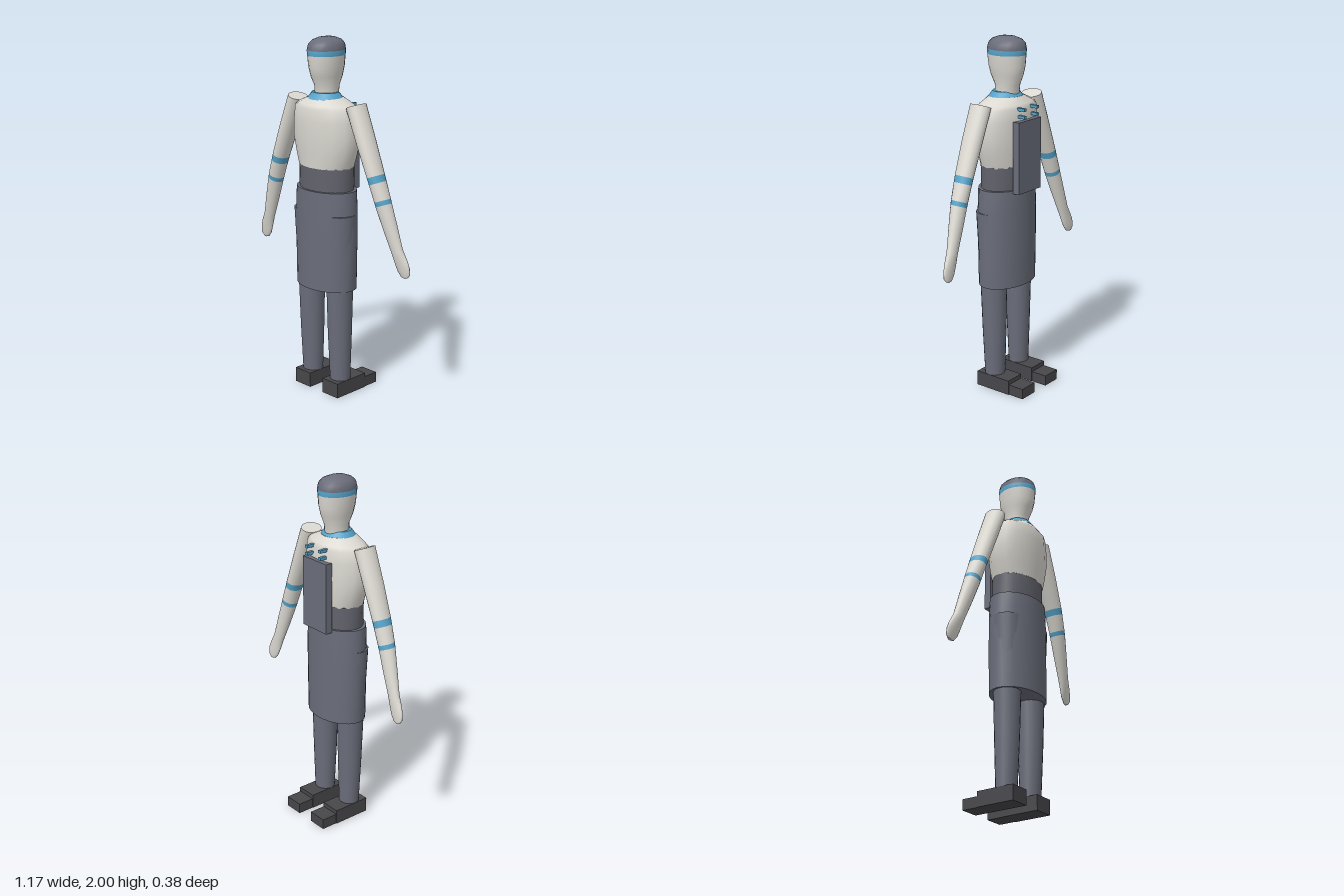
import * as THREE from 'three';

const paint = (name, color) => {
  const m = new THREE.MeshStandardMaterial({ color });
  m.name = name;
  return m;
};

// Lofts ellipses listed from bottom to top as [y, cx, cz, rx, rz, material of the band above].
function loft(name, sections, sides = 20) {
  const pos = [], index = [], mats = [], geo = new THREE.BufferGeometry();
  const ring = ([y, cx, cz, rx, rz]) => {
    const start = pos.length / 3;
    for (let i = 0; i < sides; i++) {
      const a = (i / sides) * Math.PI * 2;
      pos.push(cx + rx * Math.sin(a), y, cz + rz * Math.cos(a));
    }
    return start;
  };
  const group = (mat, build) => {
    const start = index.length;
    build();
    if (!mats.includes(mat)) mats.push(mat);
    geo.addGroup(start, index.length - start, mats.indexOf(mat));
  };
  const cap = (s, mat, up) => group(mat, () => {
    const r = ring(s), c = pos.length / 3;
    pos.push(s[1], s[0], s[2]);
    for (let i = 0; i < sides; i++) {
      const a = r + i, b = r + (i + 1) % sides;
      index.push(c, up ? a : b, up ? b : a);
    }
  });
  const rings = sections.map(ring);
  for (let j = 0; j < sections.length - 1; j++) {
    group(sections[j][5], () => {
      for (let i = 0; i < sides; i++) {
        const k = (i + 1) % sides, lo = rings[j], hi = rings[j + 1];
        index.push(lo + i, lo + k, hi + k, lo + i, hi + k, hi + i);
      }
    });
  }
  cap(sections[0], sections[0][5], false);
  cap(sections.at(-1), sections.at(-2)[5], true);
  geo.setAttribute('position', new THREE.Float32BufferAttribute(pos, 3));
  geo.setIndex(index);
  geo.computeVertexNormals();
  const mesh = new THREE.Mesh(geo, mats);
  mesh.name = name;
  return mesh;
}

// Box given by its extents on each axis.
function box(name, mat, [x0, x1], [y0, y1], [z0, z1]) {
  const mesh = new THREE.Mesh(new THREE.BoxGeometry(x1 - x0, y1 - y0, z1 - z0), mat);
  mesh.position.set((x0 + x1) / 2, (y0 + y1) / 2, (z0 + z1) / 2);
  mesh.name = name;
  return mesh;
}

export function createModel() {
  const model = new THREE.Group();
  model.name = 'figure';
  const cream = paint('cream', 0xdcd9d2);
  const slate = paint('slate', 0x6a6d7a);
  const grey = paint('waistGrey', 0x62636c);
  const dark = paint('shoeDark', 0x47474b);
  const blue = paint('trimBlue', 0x55a3c9);

  // Torso and waist
  model.add(loft('waist', [
    [1.15, 0, 0.046, 0.172, 0.122, grey],
    [1.31, 0, 0.046, 0.174, 0.124, grey],
  ]));
  model.add(loft('torso', [
    [1.305, 0, 0.047, 0.174, 0.125, cream],
    [1.38, 0, 0.047, 0.198, 0.131, cream],
    [1.47, 0, 0.049, 0.217, 0.137, cream],
    [1.56, 0, 0.05, 0.21, 0.137, cream],
    [1.625, 0, 0.05, 0.201, 0.134, cream],
    [1.645, 0, 0.05, 0.175, 0.12, cream],
    [1.68, 0, 0.052, 0.095, 0.09, cream],
  ], 16));
  model.add(loft('collar', [
    [1.672, 0, 0.054, 0.103, 0.096, blue],
    [1.685, 0, 0.054, 0.094, 0.084, blue],
    [1.706, 0, 0.056, 0.076, 0.068, blue],
  ]));

  // Head with headband and cap
  model.add(loft('head', [
    [1.69, 0, 0.045, 0.062, 0.068, cream],
    [1.74, 0, 0.043, 0.063, 0.072, cream],
    [1.79, 0, 0.045, 0.075, 0.095, cream],
    [1.84, 0, 0.046, 0.085, 0.107, cream],
    [1.902, 0, 0.047, 0.092, 0.112, blue],
    [1.93, 0, 0.047, 0.094, 0.114, slate],
    [1.962, 0, 0.046, 0.088, 0.107, slate],
    [1.982, 0, 0.045, 0.069, 0.088, slate],
    [1.996, 0, 0.045, 0.036, 0.05, slate],
    [2.0, 0, 0.045, 0.01, 0.014, slate],
  ]));

  // Skirt
  model.add(loft('skirt', [
    [0.62, 0, 0.047, 0.195, 0.133, slate],
    [0.9, 0, 0.047, 0.2, 0.134, slate],
    [1.06, 0, 0.047, 0.2, 0.134, slate],
    [1.18, 0, 0.047, 0.191, 0.134, slate],
  ], 28));

  for (const s of [1, -1]) {
    const side = s > 0 ? 'left' : 'right';
    const span = (a, b) => (s > 0 ? [a, b] : [-b, -a]);

    // Leg, its hip showing slightly through the skirt
    model.add(loft(side + 'Leg', [
      [0.08, s * 0.11, 0.05, 0.059, 0.056, slate],
      [0.35, s * 0.11, 0.053, 0.068, 0.067, slate],
      [0.62, s * 0.111, 0.055, 0.074, 0.075, slate],
      [1.05, s * 0.118, 0.06, 0.087, 0.088, slate],
    ]));

    // Shoe with a lower block behind
    model.add(box(side + 'Shoe', dark, span(0.05, 0.17), [0, 0.085], [-0.092, 0.132]));
    model.add(box(side + 'Heel', dark, span(0.053, 0.165), [0, 0.06], [-0.188, -0.09]));

    // Arm, lofted along its own axis and swung outwards
    const arm = loft(side + 'Arm', [
      [-0.943, s * 0.002, 0.008, 0.012, 0.007, cream],
      [-0.93, s * 0.003, 0.009, 0.032, 0.012, cream],
      [-0.895, s * 0.003, 0.012, 0.043, 0.016, cream],
      [-0.855, s * 0.003, 0.016, 0.043, 0.02, cream],
      [-0.79, 0, 0.022, 0.036, 0.026, cream],
      [-0.66, s * 0.004, 0.032, 0.042, 0.036, cream],
      [-0.54, s * 0.008, 0.041, 0.045, 0.044, blue],
      [-0.515, s * 0.009, 0.042, 0.045, 0.046, cream],
      [-0.42, s * 0.01, 0.045, 0.043, 0.052, blue],
      [-0.382, s * 0.01, 0.046, 0.043, 0.054, cream],
      [-0.2, s * 0.006, 0.048, 0.047, 0.059, cream],
      [0, 0, 0.048, 0.047, 0.063, cream],
    ]);
    arm.position.set(s * 0.222, 1.655, 0);
    arm.rotation.z = s * 0.362;
    model.add(arm);

    // Strap pegs above the back panel
    for (const y of [1.585, 1.625]) {
      model.add(box(side + 'Peg', blue, span(0.046, 0.064), [y - 0.008, y + 0.008], [-0.12, -0.07]));
    }
  }

  // Back panel
  model.add(box('backPanel', slate, [-0.098, 0.098], [1.165, 1.562], [-0.11, -0.07]));
  return model;
}
